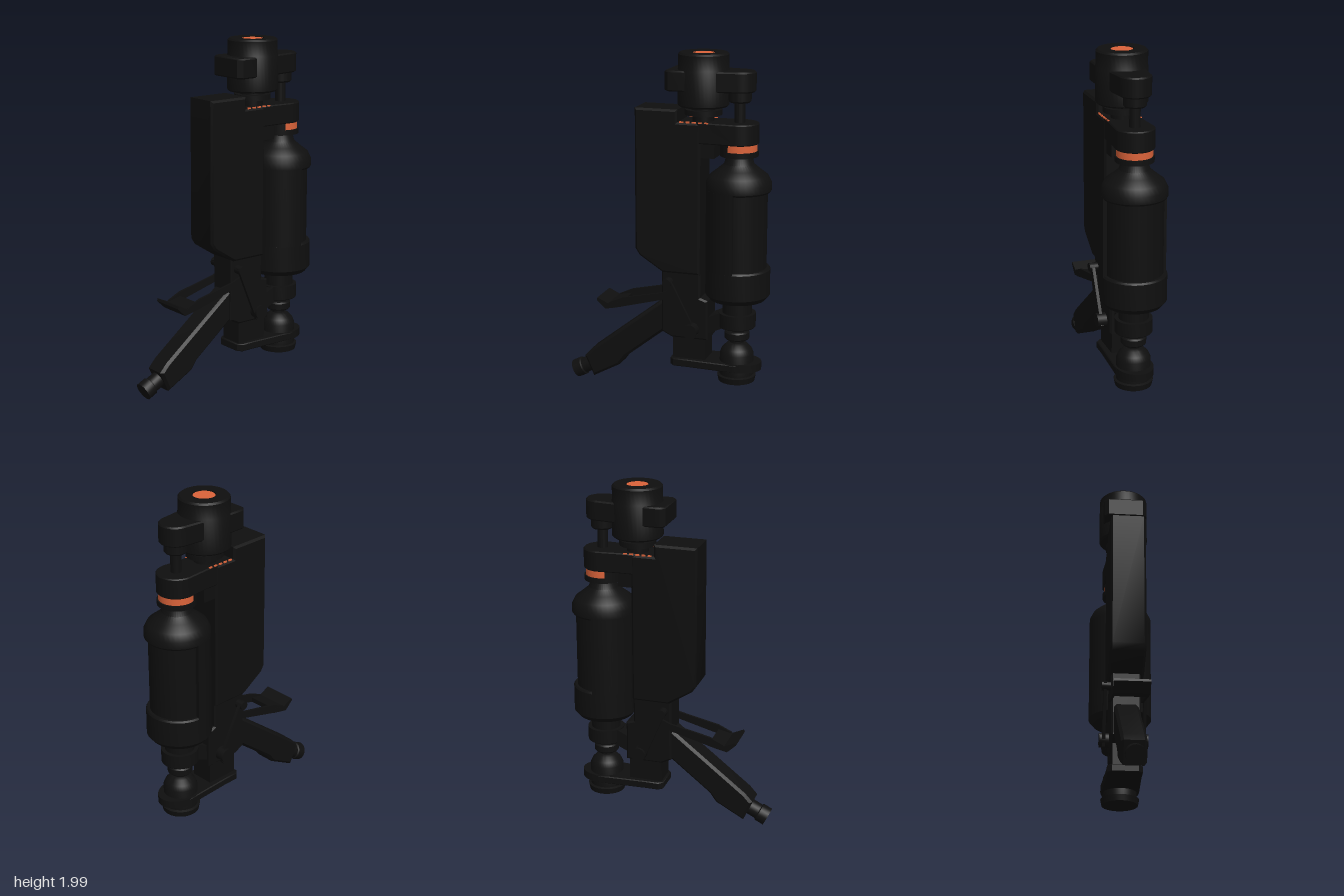
import * as THREE from 'three';
import { toCreasedNormals } from 'three/addons/utils/BufferGeometryUtils.js';

const black = new THREE.MeshStandardMaterial({ color: 0x0f0f0f });
black.name = 'matte black';
const orange = new THREE.MeshStandardMaterial({ color: 0xdb633a });
orange.name = 'orange accent';

const HEAD_Z = -0.21; // axis of the top cap
const TANK_Z = -0.42; // axis of the rear tank

export function createModel() {
  const model = new THREE.Group();
  model.name = 'canisterDevice';

  const add = (name, geometry, material = black) => {
    const mesh = new THREE.Mesh(toCreasedNormals(geometry, 0.6), material);
    mesh.name = name;
    model.add(mesh);
    return mesh;
  };

  // Turned part around a vertical axis; profile of [radius, y] from bottom to top
  const turned = (name, z, profile, material) => {
    const points = profile.map(([r, y]) => new THREE.Vector2(r, y));
    return add(name, new THREE.LatheGeometry(points, 40).translate(0, 0, z), material);
  };

  const extrude = (shape, depth, bevel) => new THREE.ExtrudeGeometry(shape, {
    depth: depth - 2 * bevel, curveSegments: 24, bevelEnabled: bevel > 0,
    bevelThickness: bevel, bevelSize: bevel, bevelOffset: -bevel, bevelSegments: 1,
  });

  // Side outline of [z, y] points, extruded across x
  const sidePart = (name, outline, width, x = 0, bevel = 0) => {
    const shape = new THREE.Shape(outline.map(([z, y]) => new THREE.Vector2(z, y)));
    const geometry = extrude(shape, width, bevel);
    geometry.translate(0, 0, bevel - width / 2).rotateY(-Math.PI / 2).translate(x, 0, 0);
    return add(name, geometry);
  };

  // Plan outline in x and z, extruded up from y0 to y1
  const planPart = (name, shape, y0, y1, bevel = 0) => {
    const geometry = extrude(shape, y1 - y0, bevel);
    return add(name, geometry.rotateX(Math.PI / 2).translate(0, y1 - bevel, 0));
  };

  // Plan outline with a rounded back end around the tank axis
  const roundedArm = (halfFront, zFront, radius) => {
    const shape = new THREE.Shape();
    shape.moveTo(radius, TANK_Z);
    shape.lineTo(halfFront, zFront - 0.11);
    shape.lineTo(halfFront, zFront - 0.025);
    shape.lineTo(halfFront - 0.025, zFront);
    shape.lineTo(-halfFront + 0.025, zFront);
    shape.lineTo(-halfFront, zFront - 0.025);
    shape.lineTo(-halfFront, zFront - 0.11);
    shape.lineTo(-radius, TANK_Z);
    shape.absarc(0, TANK_Z, radius, Math.PI, 2 * Math.PI, false);
    return shape;
  };

  // Main body with stepped top
  sidePart('mainBody', [
    [0.165, 1.685], [0.165, 0.87], [0.14, 0.83], [0, 0.74], [-0.22, 0.74],
    [-0.22, 1.615], [-0.085, 1.615], [-0.085, 1.685],
  ], 0.205, 0, 0.012);

  // Top cap, neck and orange button
  turned('topCap', HEAD_Z, [
    [0, 1.70], [0.135, 1.70], [0.145, 1.71], [0.145, 1.905], [0.142, 1.91],
    [0.142, 1.99], [0.132, 2.0], [0.065, 2.0], [0.065, 1.992], [0, 1.992],
  ]);
  turned('capButton', HEAD_Z, [[0, 1.99], [0.063, 1.99], [0.06, 1.997], [0, 1.997]], orange);
  turned('capNeck', HEAD_Z, [
    [0, 1.60], [0.062, 1.60], [0.062, 1.652], [0.105, 1.652], [0.105, 1.683],
    [0.075, 1.683], [0.075, 1.71], [0, 1.71],
  ]);

  // Bracket joining the cap to the valve stem
  planPart('headBracket', roundedArm(0.128, -0.015, 0.09), 1.79, 1.905, 0.008);
  turned('valveStem', TANK_Z, [
    [0, 1.58], [0.03, 1.58], [0.03, 1.73], [0.055, 1.73], [0.064, 1.74], [0.064, 1.80], [0, 1.80],
  ]);

  // Upper arm and collar holding the tank neck
  planPart('upperArm', roundedArm(0.1, -0.18, 0.11), 1.50, 1.618, 0.006);
  add('armBlock', new THREE.BoxGeometry(0.18, 0.19, 0.09).translate(0, 1.515, -0.255));
  turned('orangeRing', TANK_Z, [[0, 1.455], [0.1, 1.455], [0.1, 1.505], [0, 1.505]], orange);
  turned('neckFlange', TANK_Z, [[0, 1.43], [0.108, 1.43], [0.108, 1.46], [0, 1.46]]);
  planPart('ringShroud', (() => {
    const shape = new THREE.Shape();
    shape.absarc(0, TANK_Z, 0.109, 0.4, Math.PI - 0.4, false);
    return shape;
  })(), 1.45, 1.505);

  // Orange dashes along the shoulder of the body
  for (const side of [-1, 1]) {
    for (let i = 0; i < 5; i++) {
      add('shoulderDash', new THREE.BoxGeometry(0.008, 0.008, 0.022)
        .translate(side * 0.094, 1.617, -0.11 - i * 0.036), orange);
    }
  }

  // Tank with a recessed grip on its back half
  turned('tankTop', TANK_Z, [
    [0, 1.23], [0.178, 1.23], [0.185, 1.24], [0.185, 1.28], [0.165, 1.32],
    [0.12, 1.355], [0.085, 1.385], [0.07, 1.44], [0, 1.44],
  ]);
  turned('tankBottom', TANK_Z, [
    [0, 0.60], [0.16, 0.60], [0.185, 0.63], [0.185, 0.78], [0.178, 0.79], [0, 0.79],
  ]);
  turned('tankGrip', TANK_Z, [[0.163, 0.78], [0.163, 1.24]]);
  const shell = new THREE.Shape();
  shell.absarc(0, TANK_Z, 0.185, -0.08, Math.PI + 0.08, false);
  shell.absarc(0, TANK_Z, 0.155, Math.PI + 0.08, -0.08, true);
  planPart('tankFrontShell', shell, 0.78, 1.24);

  // Lower pipe, collars and foot of the tank
  turned('lowerPipe', TANK_Z, [
    [0, 0.5], [0.085, 0.5], [0.085, 0.61], [0, 0.61],
  ]);
  turned('lowerCollar', TANK_Z, [
    [0, 0.28], [0.04, 0.28], [0.04, 0.355], [0.065, 0.355], [0.072, 0.363], [0.072, 0.397],
    [0.065, 0.405], [0.04, 0.405], [0.04, 0.43], [0.103, 0.43], [0.107, 0.435],
    [0.107, 0.515], [0, 0.515],
  ]);
  turned('tankFoot', TANK_Z, [
    [0, 0.105], [0.105, 0.105], [0.112, 0.14], [0.098, 0.145], [0.098, 0.27],
    [0.085, 0.30], [0.06, 0.325], [0.04, 0.335], [0, 0.335],
  ]);
  sidePart('lowerLink', [
    [-0.19, 0.35], [-0.27, 0.39], [-0.36, 0.43], [-0.42, 0.43], [-0.42, 0.515],
    [-0.33, 0.515], [-0.19, 0.45],
  ], 0.12);

  // Frame under the body and base plate
  sidePart('lowerFrame', [
    [0.01, 0.75], [0.01, 0.38], [-0.05, 0.35], [-0.265, 0.35], [-0.265, 0.585],
    [-0.22, 0.60], [-0.22, 0.75],
  ], 0.17, 0, 0.01);
  add('basePost', new THREE.BoxGeometry(0.14, 0.18, 0.195).translate(0, 0.28, -0.152));
  planPart('basePlate', roundedArm(0.1, -0.04, 0.112), 0.18, 0.225, 0.005);
  turned('plateRing', TANK_Z, [[0, 0.18], [0.145, 0.18], [0.145, 0.225], [0, 0.225]])
    .scale.x = 0.76;

  // Angled nozzle arm
  sidePart('nozzleArm', [
    [-0.1, 0.57], [0.02, 0.555], [0.455, 0.215], [0.50, 0.165], [0.445, 0.045],
    [0.28, 0.135], [0.24, 0.19], [0, 0.38], [-0.1, 0.38],
  ], 0.14, 0, 0.015);
  const tip = add('nozzleTip', new THREE.LatheGeometry([
    [0, 0], [0.046, 0], [0.046, 0.075], [0.054, 0.08], [0.054, 0.135], [0, 0.135],
  ].map(([r, y]) => new THREE.Vector2(r, y)), 24));
  tip.position.set(0, 0.116, 0.457);
  tip.rotation.x = Math.PI / 2 + 0.465;

  // Lever: cross paddle carried by two thin arms
  sidePart('leverPaddle', [
    [0.40, 0.55], [0.405, 0.535], [0.352, 0.485], [0.25, 0.508], [0.25, 0.538], [0.335, 0.52],
  ], 0.2);
  for (const side of [-1, 1]) {
    sidePart('leverArm', [
      [0.33, 0.525], [0.30, 0.495], [0, 0.575], [-0.05, 0.60], [-0.05, 0.64], [0.01, 0.615],
      [0.25, 0.562],
    ], 0.014, side * 0.092);

    // Side strut with pivots at both ends
    sidePart('sideStrut', [
      [-0.01, 0.70], [-0.03, 0.71], [-0.06, 0.69], [-0.215, 0.39], [-0.19, 0.355], [-0.15, 0.365],
    ], 0.018, side * 0.115);
    for (const [z, y, r, half] of [[-0.035, 0.685, 0.025, 0.135], [-0.175, 0.41, 0.042, 0.14]]) {
      add('strutPivot', new THREE.CylinderGeometry(r, r, 0.065, 20)
        .rotateZ(Math.PI / 2).translate(side * (half - 0.0325), y, z));
    }
  }
  return model;
}
